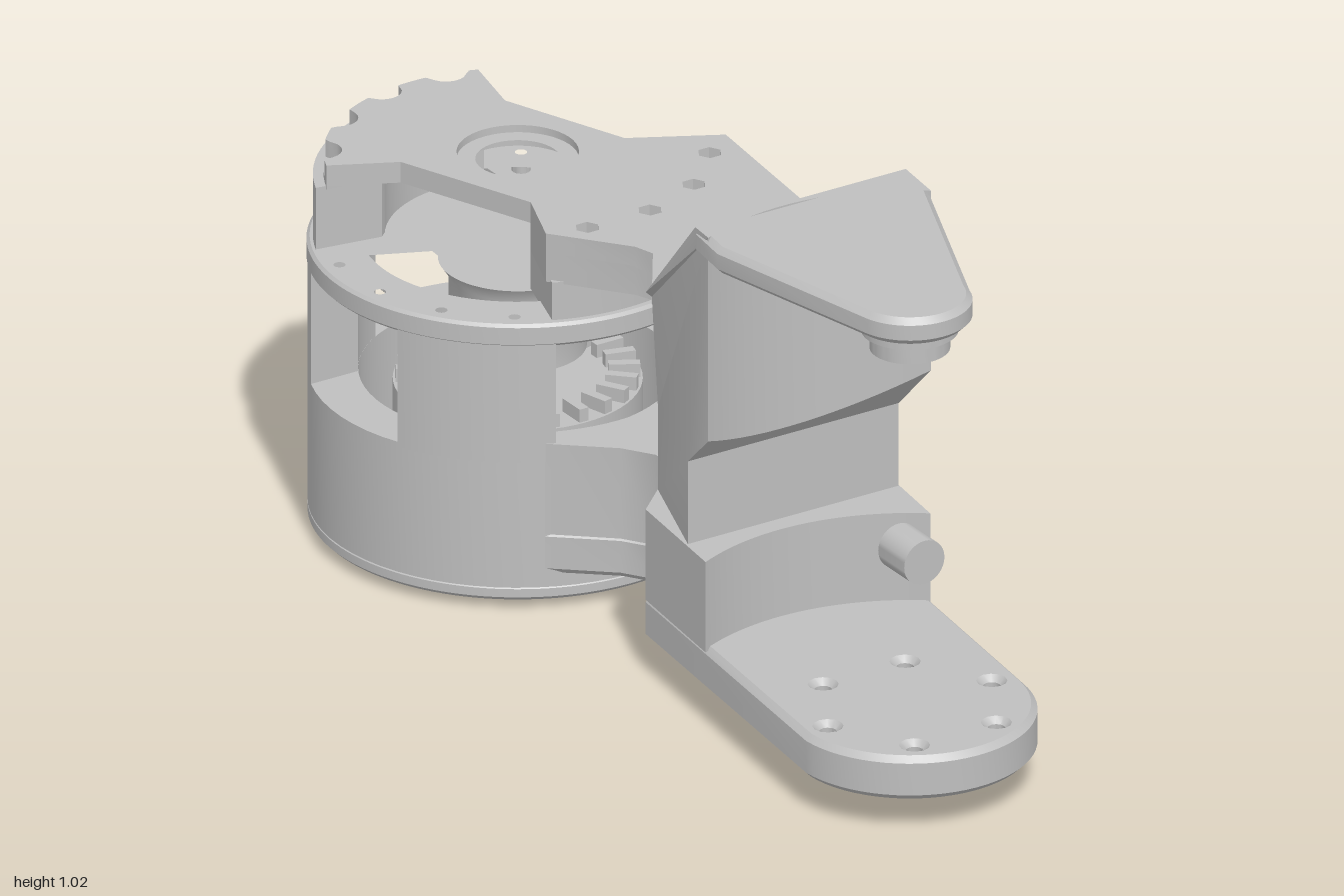
import * as THREE from 'three';
import { toCreasedNormals } from 'three/addons/utils/BufferGeometryUtils.js';

const gray = new THREE.MeshStandardMaterial({ color: 0xbfbfbf });
gray.name = 'machined gray';
const MZ = -0.6; // motor axis
const FZ = 0.76; // foot axis
const rad = THREE.MathUtils.degToRad;

function mesh(name, geo, crease = 0.6) {
  const m = new THREE.Mesh(toCreasedNormals(geo, crease), gray);
  m.name = name;
  return m;
}

// points along an arc in plan; angles in degrees from +x towards +z
function arc(r, a0, a1, cz = MZ, n = 24, cx = 0) {
  return Array.from({ length: n + 1 }, (_, i) => {
    const a = rad(a0 + (a1 - a0) * i / n);
    return [cx + r * Math.cos(a), cz + r * Math.sin(a)];
  });
}
const circle = (r, x, z, n = 12) => arc(r, 0, 360 - 360 / n, z, n - 1, x);
const boltCircle = (r, R, n, start, cz) =>
  arc(R, start, start + 360 * (n - 1) / n, cz, n - 1).map(([x, z]) => circle(r, x, z));
const vec = pts => pts.map(([x, z]) => new THREE.Vector2(x, -z));

// plan outline raised from y0 to y1, with optional holes and chamfer
function slab(name, pts, y0, y1, holes = [], bevel = 0) {
  const shape = new THREE.Shape(vec(pts));
  holes.forEach(h => shape.holes.push(new THREE.Path(vec(h))));
  const g = new THREE.ExtrudeGeometry(shape, {
    depth: y1 - y0 - 2 * bevel, bevelEnabled: bevel > 0, bevelThickness: bevel,
    bevelSize: bevel, bevelOffset: -bevel, bevelSegments: 1,
  });
  g.rotateX(-Math.PI / 2).translate(0, y0 + bevel, 0);
  return mesh(name, g);
}

function lathe(name, profile, z) {
  const g = new THREE.LatheGeometry(profile.map(p => new THREE.Vector2(...p)), 64);
  return mesh(name, g.translate(0, 0, z));
}

// side limits of the arm in plan
const leftX = z => z > 0.1 ? -0.165 - (z - 0.1) * 0.09 : Math.min(-0.02, -0.165 + (0.1 - z) * 1.1);
const rightX = z => 0.275 + (0.41 - z) * 0.11;
const frontZ = x => FZ - Math.sqrt(0.45 ** 2 - x * x); // scooped front

// upright and sloped shoulder, lofted across the width
function shoulder() {
  const N = 16, pos = [], index = [];
  let contour;
  for (let s = 0; s <= N; s++) {
    const u = s / N;
    const c = frontZ(THREE.MathUtils.lerp(leftX(0.38), rightX(0.38), u));
    const profile = [[0.27, 0.34], [0.04, 0.34], [0.04, 0.52], [-0.1, 0.67], [-0.1, 0.77], [0.07, 0.77],
      [0.1, 0.8], [0.3, 1.02], [c, 1.02], [c, 0.52 + (c - 0.27) * 0.93], [0.27, 0.52]];
    profile.forEach(([z, y]) => pos.push(THREE.MathUtils.lerp(leftX(z), rightX(z), u), y, z));
    contour = profile.map(([z, y]) => new THREE.Vector2(-z, y));
  }
  const n = contour.length, top = N * n;
  for (let s = 0; s < N; s++) for (let i = 0; i < n; i++) {
    const j = (i + 1) % n, a = s * n + i, b = s * n + j;
    index.push(a, b, b + n, a, b + n, a + n);
  }
  THREE.ShapeUtils.triangulateShape(contour, []).forEach(([a, b, c]) =>
    index.push(top + a, top + b, top + c, a, c, b));
  const g = new THREE.BufferGeometry();
  g.setAttribute('position', new THREE.Float32BufferAttribute(pos, 3));
  g.setIndex(index);
  return mesh('shoulder', g, 0.4);
}

function motor() {
  const g = new THREE.Group();
  g.name = 'motor';
  const ring = r => arc(r, 0, 357, MZ, 119);
  // lower housing, with bolted bottom rim
  g.add(lathe('housing', [[0.3, 0.05], [0.395, 0.05], [0.395, 0.32], [0.3, 0.32], [0.3, 0.05]], MZ));
  g.add(slab('bottomRim', ring(0.395), 0.022, 0.055, [ring(0.3), ...boltCircle(0.017, 0.35, 16, 11.25, MZ)], 0.008));
  g.add(lathe('drum', [[0, 0.025], [0.235, 0.025], [0.235, 0.3], [0, 0.3]], MZ));
  g.add(slab('outputFlange', ring(0.247), 0.003, 0.028, boltCircle(0.015, 0.19, 12, 0, MZ), 0.006));
  // corner lug
  g.add(slab('cornerLug', [[0.05, -0.995], [0.24, -0.995], [0.39, -0.68], [0.32, -0.66], [0.05, -0.92]], 0.07, 0.27));
  // pillars between four side windows
  const ao = THREE.MathUtils.radToDeg(Math.asin(0.15 / 0.395));
  for (let k = 0; k < 4; k++) {
    const a = k * 90;
    g.add(slab('pillar', [...arc(0.395, a + ao, a + 90 - ao), ...arc(0.3, a + 60, a + 30)], 0.31, 0.56));
  }
  // top plate with two curved vents and a bolt circle
  const vent = a => [...arc(0.3, a - 48, a + 48), ...arc(0.17, a + 42, a - 42)];
  g.add(slab('topPlate', ring(0.397), 0.55, 0.597,
    [vent(-32), vent(148), circle(0.05, 0, MZ, 32), ...boltCircle(0.018, 0.36, 16, 11.25, MZ)], 0.006));
  g.add(lathe('rotor', [[0.05, 0.37], [0.13, 0.37], [0.13, 0.52], [0.15, 0.55], [0.05, 0.55], [0.05, 0.37]], MZ));
  // winding teeth seen through the vents
  for (let k = 0; k < 24; k++) {
    const t = mesh('windingTooth', new THREE.BoxGeometry(0.06, 0.03, 0.02));
    const a = k * Math.PI / 12;
    t.position.set(0.2 * Math.cos(a), 0.312, MZ - 0.2 * Math.sin(a));
    t.rotation.y = a;
    g.add(t);
  }
  return g;
}

function bridge() {
  const g = new THREE.Group();
  g.name = 'bridge';
  // scalloped rear edge, notched at each bolt
  const rear = Array.from({ length: 65 }, (_, i) => {
    const deg = -69 - i * 88 / 64;
    const off = Math.abs(((deg + 720 - 11.25) % 22.5 + 33.75) % 22.5 - 11.25);
    const r = 0.365 - 0.035 * Math.sqrt(Math.max(0, 1 - (off / 6) ** 2));
    return [r * Math.cos(rad(deg)), MZ + r * Math.sin(rad(deg))];
  });
  const neck = [[-0.15, -0.27], [-0.04, -0.13], [-0.02, -0.06], [-0.1, 0.02]];
  const bolts = [[-0.07, -0.25], [0.07, -0.25], [0.2, -0.3], [0.3, -0.4], [0.05, -0.02], [0.2, -0.02]]
    .map(([x, z]) => circle(0.024, x, z, 6));
  g.add(slab('bridgePlate', [[rightX(0.02), 0.02], [0.368, -0.45], [0.2, -0.54], [0.1, -0.8], ...rear,
    [-0.21, -0.68], [-0.1, -0.4], ...neck], 0.727, 0.77, [circle(0.115, 0, MZ, 48), ...bolts]));
  g.add(slab('bearingRing', circle(0.118, 0, MZ, 48), 0.73, 0.755, [circle(0.08, 0, MZ, 48)]));
  // front leg, thickening down to the motor
  const inner = [[0.368, -0.45], [0.22, -0.49], [0.1, -0.42], [-0.1, -0.4]];
  g.add(slab('bridgeWeb', [[rightX(-0.08), -0.08], ...inner, ...neck.slice(0, 2), [-0.02, -0.08]], 0.67, 0.73));
  g.add(slab('frontLeg', [...inner, ...arc(0.38, 113, 22)], 0.59, 0.675));
  // rear leg
  g.add(slab('rearLeg', [...arc(0.385, -69, -157), [-0.22, -0.73], ...arc(0.25, -145, -72)], 0.59, 0.725));
  g.add(slab('rearLegStep', [...arc(0.365, -69, -157), [-0.22, -0.73], ...arc(0.25, -145, -72)], 0.72, 0.735));
  return g;
}

function arm() {
  const g = new THREE.Group();
  g.name = 'arm';
  const tail = [...arc(0.345, 22, 118), [-0.2, -0.27], [-0.06, -0.15], [-0.02, -0.09], [-0.02, -0.04], [-0.1, 0.04], [-0.165, 0.1]];
  // foot plate with bolt holes
  g.add(slab('footPlate', [...arc(0.24, 177, 5, FZ, 32), [0.385, -0.46], ...tail], 0.077, 0.167,
    boltCircle(0.017, 0.183, 6, 0, FZ), 0.012));
  // base block with scooped front
  const scoop = Array.from({ length: 25 }, (_, i) => {
    const x = -0.195 + 0.47 * i / 24;
    return [x, frontZ(x)];
  });
  g.add(slab('baseBlock', [...scoop, [0.385, -0.46], ...tail], 0.16, 0.348));
  g.add(shoulder());
  // tapering top tongue and its round boss
  g.add(slab('topTongue', [[-0.185, 0.305], [-0.198, 0.4], ...arc(0.118, 165, 15, FZ), [0.276, 0.4], [0.286, 0.305]],
    0.965, 1.02, [], 0.012));
  g.add(lathe('boss', [[0, 0.908], [0.076, 0.908], [0.076, 0.945], [0.092, 0.945], [0.092, 0.97], [0, 0.97]], FZ));
  // hexagonal fasteners on the slope
  for (const [x, z] of [[0.04, 0.09], [0.19, 0.09], [0.03, 0.2], [0.175, 0.2]]) {
    const b = mesh('slopeFastener', new THREE.CylinderGeometry(0.026, 0.026, 0.008, 6));
    b.position.set(x, 0.77 + (z - 0.07) * 1.087, z);
    b.rotation.x = -rad(47.4);
    g.add(b);
  }
  // pin standing clear of the upright
  const pin = mesh('pin', new THREE.CylinderGeometry(0.045, 0.045, 0.09, 32).rotateX(Math.PI / 2));
  pin.position.set(0.053, 0.433, 0.683);
  g.add(pin);
  return g;
}

export function createModel() {
  const model = new THREE.Group();
  model.name = 'motorBracket';
  model.add(motor(), bridge(), arm());
  return model;
}
